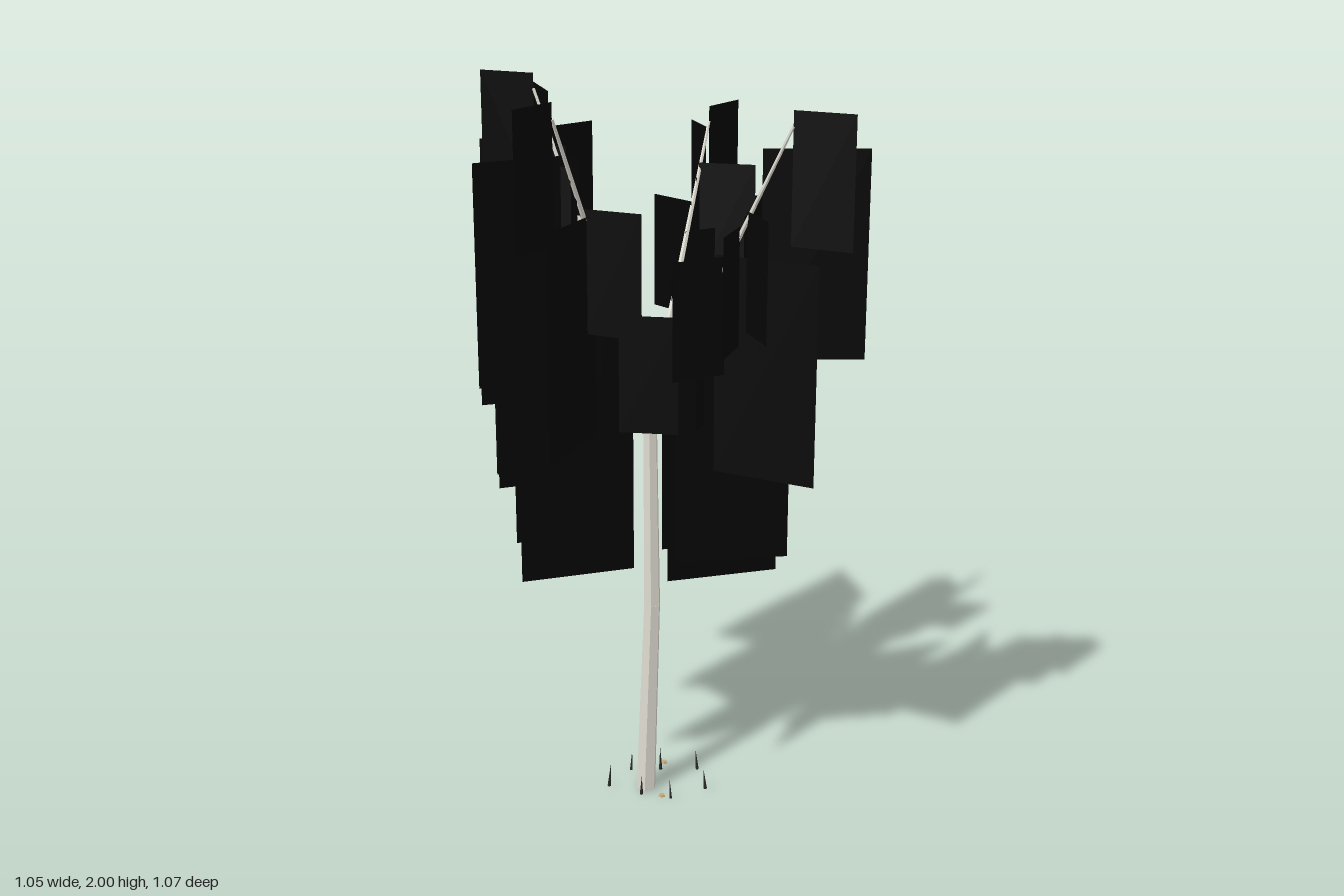
import * as THREE from 'three';

const V = (x, y, z) => new THREE.Vector3(x, y, z);

export function createModel() {
  const tree = new THREE.Group();
  tree.name = 'tree';
  const bark = new THREE.MeshStandardMaterial({ color: 0xdedbd0, flatShading: true });
  const leaf = new THREE.MeshStandardMaterial({ color: 0x050505, side: THREE.DoubleSide });
  const dark = new THREE.MeshStandardMaterial({ color: 0x2a2a2a, flatShading: true });
  const tan = new THREE.MeshStandardMaterial({ color: 0xc8a878, flatShading: true });

  const add = (name, geometry, material, parent = tree) => {
    const mesh = new THREE.Mesh(geometry, material);
    mesh.name = name;
    parent.add(mesh);
    return mesh;
  };

  // Tapered six-sided limb between two points
  const limb = (name, a, b, r0, r1) => {
    const dir = b.clone().sub(a);
    const mesh = add(name, new THREE.CylinderGeometry(r1, r0, dir.length(), 6), bark);
    mesh.position.copy(a).addScaledVector(dir, 0.5);
    mesh.quaternion.setFromUnitVectors(V(0, 1, 0), dir.normalize());
  };

  // Slightly bent trunk with a flared crown
  const bend = V(-0.048, 0.57, -0.036);
  const neck = V(-0.052, 1.07, -0.037);
  const root = V(-0.055, 1.1, -0.04);
  limb('lowerTrunk', V(-0.067, 0, -0.038), bend, 0.029, 0.024);
  limb('upperTrunk', bend, neck, 0.024, 0.02);
  limb('trunkCrown', neck, root, 0.02, 0.028);

  const foliage = new THREE.Group();
  foliage.name = 'foliage';
  tree.add(foliage);

  // Upright card, twice as tall as wide, held by one edge at a point of a branch
  const leafCard = (hold, heading, width, lift) => {
    const card = add('leafCard', new THREE.PlaneGeometry(width, 2 * width), leaf, foliage);
    card.position.set(
      hold.x + Math.cos(heading) * width / 2,
      hold.y + lift - width,
      hold.z + Math.sin(heading) * width / 2);
    card.rotation.y = -heading;
  };

  // Straight branch with cards given as [part of the way along, heading in degrees]
  const branch = (tip, large, small) => {
    limb('branch', root, tip, 0.012, 0.004);
    const at = (t) => root.clone().lerp(tip, t);
    const rad = THREE.MathUtils.degToRad;
    leafCard(tip, Math.atan2(tip.z - root.z, tip.x - root.x), 0.168, 0.04);
    for (const [t, deg] of large) leafCard(at(t), rad(deg), 0.325 - 0.07 * t, 0.055 + 0.06 * t);
    for (const [t, deg] of small) leafCard(at(t), rad(deg), 0.156, 0.025);
  };

  // Left-hand, rear, right-hand and front branches
  branch(V(-0.375, 1.96, -0.175),
    [[0.17, 226], [0.4, 171], [0.6, 154], [0.72, 203], [0.87, 250]],
    [[0.36, 92], [0.55, 290], [0.68, 131], [0.75, 199], [0.86, 307]]);
  branch(V(0.075, 1.86, -0.335),
    [[0.21, 334], [0.35, 270], [0.37, 294], [0.72, 267]],
    [[0.6, 321], [0.7, 224], [0.78, 300], [0.83, 9], [0.95, 250]]);
  branch(V(0.32, 1.91, 0.12),
    [[0.14, 337], [0.2, 345], [0.48, 23], [0.8, 354]],
    [[0.35, 291], [0.55, 143], [0.65, 101], [0.68, 277], [0.7, 67], [0.75, 309]]);
  branch(V(-0.23, 1.955, 0.39),
    [[0.19, 155], [0.33, 146], [0.48, 153], [0.6, 105], [0.77, 144]],
    [[0.35, 3], [0.54, 224], [0.7, 20], [0.83, 181]]);

  // Dark knots on the back of the trunk
  for (let i = 0; i < 5; i++) {
    const knot = add('barkKnot', new THREE.BoxGeometry(0.014, 0.018, 0.008), dark);
    knot.position.set(-0.054 + (i % 2 ? 0.008 : -0.008), 0.2 + 0.17 * i, -0.06);
  }

  // Thin sprouts in an uneven ring around the base
  for (let i = 0; i < 7; i++) {
    const angle = (i / 7) * Math.PI * 2 + 0.2;
    const radius = 0.11 + 0.03 * Math.cos(i * 2);
    const sprout = add('sprout', new THREE.ConeGeometry(0.005, 0.06 + 0.01 * (i % 2), 4), dark);
    sprout.position.set(-0.035 + radius * Math.cos(angle), 0.035, -0.06 + radius * Math.sin(angle));
    sprout.rotation.set(0.05, i, 0.08);
  }

  // Flat pebbles
  for (const [x, z] of [[-0.065, -0.14], [-0.03, -0.185], [-0.015, 0.015]]) {
    const pebble = add('pebble', new THREE.CylinderGeometry(0.008, 0.01, 0.006, 5), tan);
    pebble.position.set(x, 0.003, z);
  }
  return tree;
}
